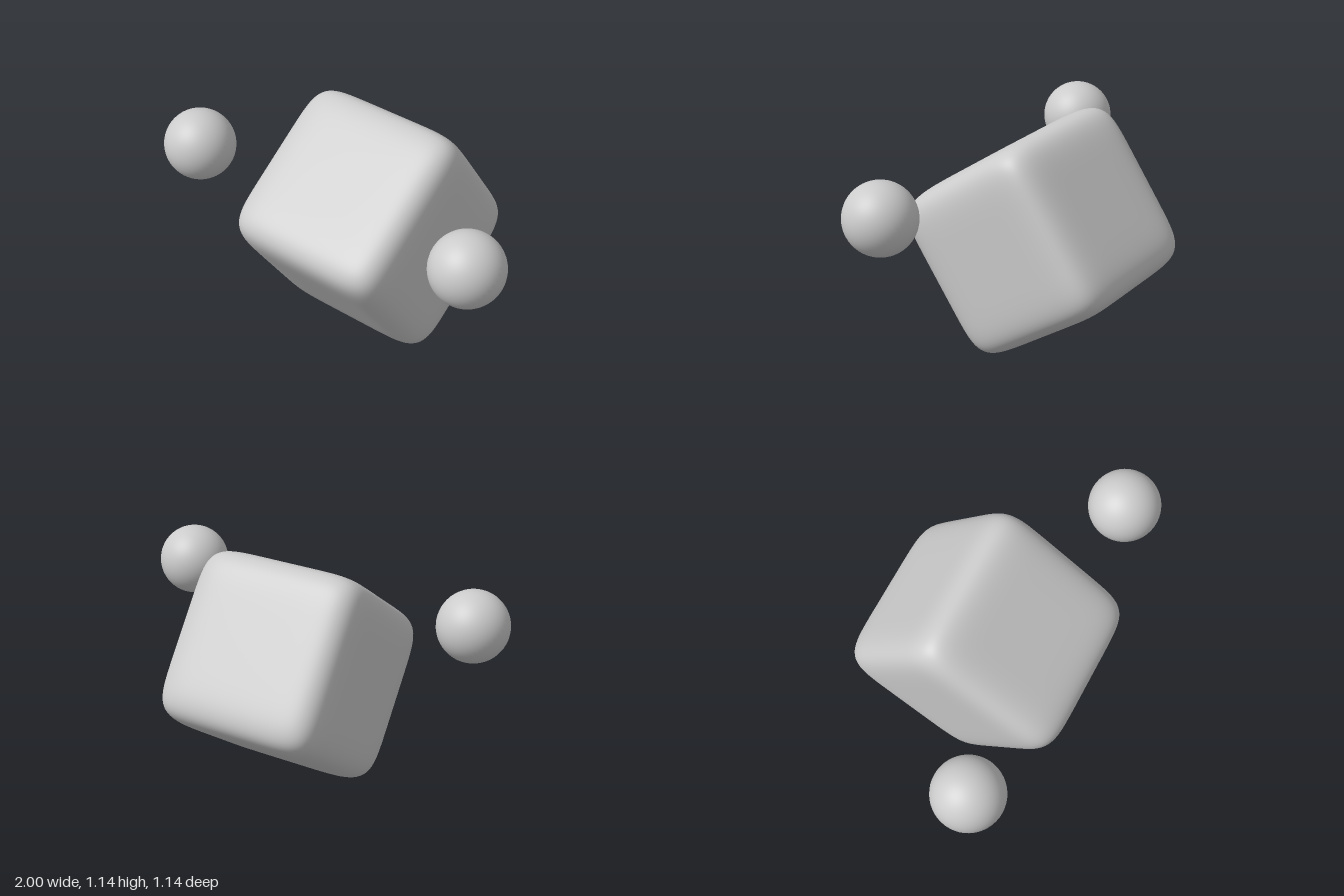
import * as THREE from 'three';

const material = new THREE.MeshStandardMaterial({ color: 0xcccccc });

// Softly rounded cube: a box grid projected onto a superellipsoid, with exact normals
function softCube(half, power, segments) {
  const geometry = new THREE.BoxGeometry(2, 2, 2, segments, segments, segments);
  const { position, normal } = geometry.attributes;
  const p = new THREE.Vector3();
  const bend = (v) => Math.sign(v) * Math.abs(v) ** (power - 1);
  for (let i = 0; i < position.count; i++) {
    p.fromBufferAttribute(position, i);
    const length = (Math.abs(p.x) ** power + Math.abs(p.y) ** power + Math.abs(p.z) ** power) ** (1 / power);
    p.multiplyScalar(half / length);
    position.setXYZ(i, p.x, p.y, p.z);
    p.divideScalar(half);
    p.set(bend(p.x), bend(p.y), bend(p.z)).normalize();
    normal.setXYZ(i, p.x, p.y, p.z);
  }
  return geometry;
}

export function createModel() {
  const model = new THREE.Group();

  // Tilted cube body
  const body = new THREE.Mesh(softCube(0.452, 7, 40), material);
  body.name = 'body';
  body.position.y = 0.573;
  body.rotation.x = THREE.MathUtils.degToRad(35);
  model.add(body);

  // Floating balls on either side
  const ball = new THREE.SphereGeometry(0.18, 48, 32);
  const balls = [
    ['leftBall', 0.82, 0.863, 0.334],
    ['rightBall', -0.82, 0.854, 0.348],
  ];
  for (const [name, x, y, z] of balls) {
    const mesh = new THREE.Mesh(ball, material);
    mesh.name = name;
    mesh.position.set(x, y, z);
    model.add(mesh);
  }

  return model;
}
